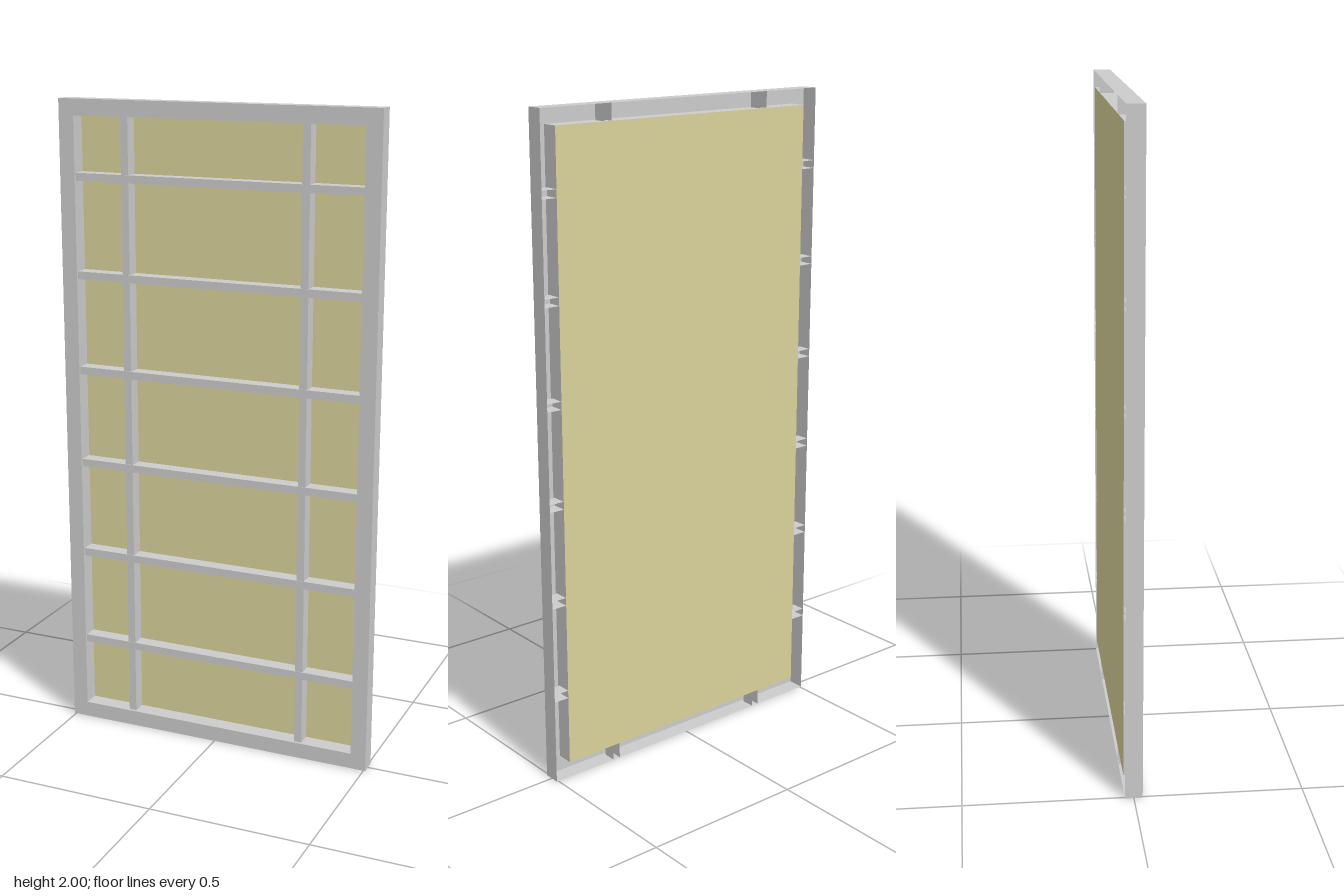
import * as THREE from 'three';
import { mergeGeometries } from 'three/addons/utils/BufferGeometryUtils.js';

const W = 1.012, H = 2, BACK = -0.026, FRONT = 0.026;
const RIM = 0.049, BAR = 0.024;
const steel = new THREE.MeshStandardMaterial({ color: 0xcccccc, side: THREE.DoubleSide });
const infill = new THREE.MeshStandardMaterial({ color: 0xd9d29a, side: THREE.DoubleSide });

function addPart(group, name, geometry, material = steel) {
  const mesh = new THREE.Mesh(geometry, material);
  mesh.name = name;
  group.add(mesh);
  return mesh;
}

// Four thin walls around a rectangle centred on the origin
function wallRing(w, h, depth) {
  const z = BACK + depth / 2;
  const walls = [];
  for (const s of [-1, 1]) {
    walls.push(new THREE.PlaneGeometry(depth, h).rotateY(s * Math.PI / 2).translate(s * w / 2, 0, z));
    walls.push(new THREE.PlaneGeometry(w, depth).rotateX(-s * Math.PI / 2).translate(0, s * h / 2, z));
  }
  return mergeGeometries(walls);
}

// Sheet channel along x: a front face and two side walls, open at the back
function channel(length, width, front) {
  const depth = front - BACK;
  const parts = [new THREE.PlaneGeometry(length, width).translate(0, 0, front)];
  for (const s of [-1, 1]) {
    parts.push(new THREE.PlaneGeometry(length, depth).rotateX(-s * Math.PI / 2)
      .translate(0, s * width / 2, BACK + depth / 2));
  }
  return mergeGeometries(parts);
}

function rectangle(target, w, h) {
  target.moveTo(-w / 2, -h / 2);
  target.lineTo(w / 2, -h / 2);
  target.lineTo(w / 2, h / 2);
  target.lineTo(-w / 2, h / 2);
  target.closePath();
  return target;
}

export function createModel() {
  const model = new THREE.Group();
  model.name = 'framedPanel';
  const body = new THREE.Group();
  body.name = 'panelBody';
  body.position.y = H / 2;
  model.add(body);

  const innerW = W - 2 * RIM, innerH = H - 2 * RIM;

  // Hollow outer frame, open at the back
  const face = rectangle(new THREE.Shape(), W, H);
  face.holes.push(rectangle(new THREE.Path(), innerW, innerH));
  addPart(body, 'frameFace', new THREE.ShapeGeometry(face).translate(0, 0, FRONT));
  addPart(body, 'frameOuterWalls', wallRing(W, H, FRONT - BACK));
  addPart(body, 'frameInnerWalls', wallRing(innerW, innerH, FRONT - BACK));

  // Horizontal bars, reaching through to the outer walls
  for (let i = 0; i < 6; i++) {
    const bar = addPart(body, 'horizontalBar', channel(W, BAR, 0.019));
    bar.position.y = 0.275 + i * 0.2988 - H / 2;
  }

  // Vertical bars, set slightly behind the horizontal ones
  for (const x of [-0.294, 0.28]) {
    const bar = addPart(body, 'verticalBar', channel(H, BAR, 0.017));
    bar.rotation.z = Math.PI / 2;
    bar.position.x = x;
  }

  // Coloured infill at the back
  addPart(body, 'infillPanel', new THREE.PlaneGeometry(innerW, innerH).translate(0, 0, BACK), infill);

  return model;
}
